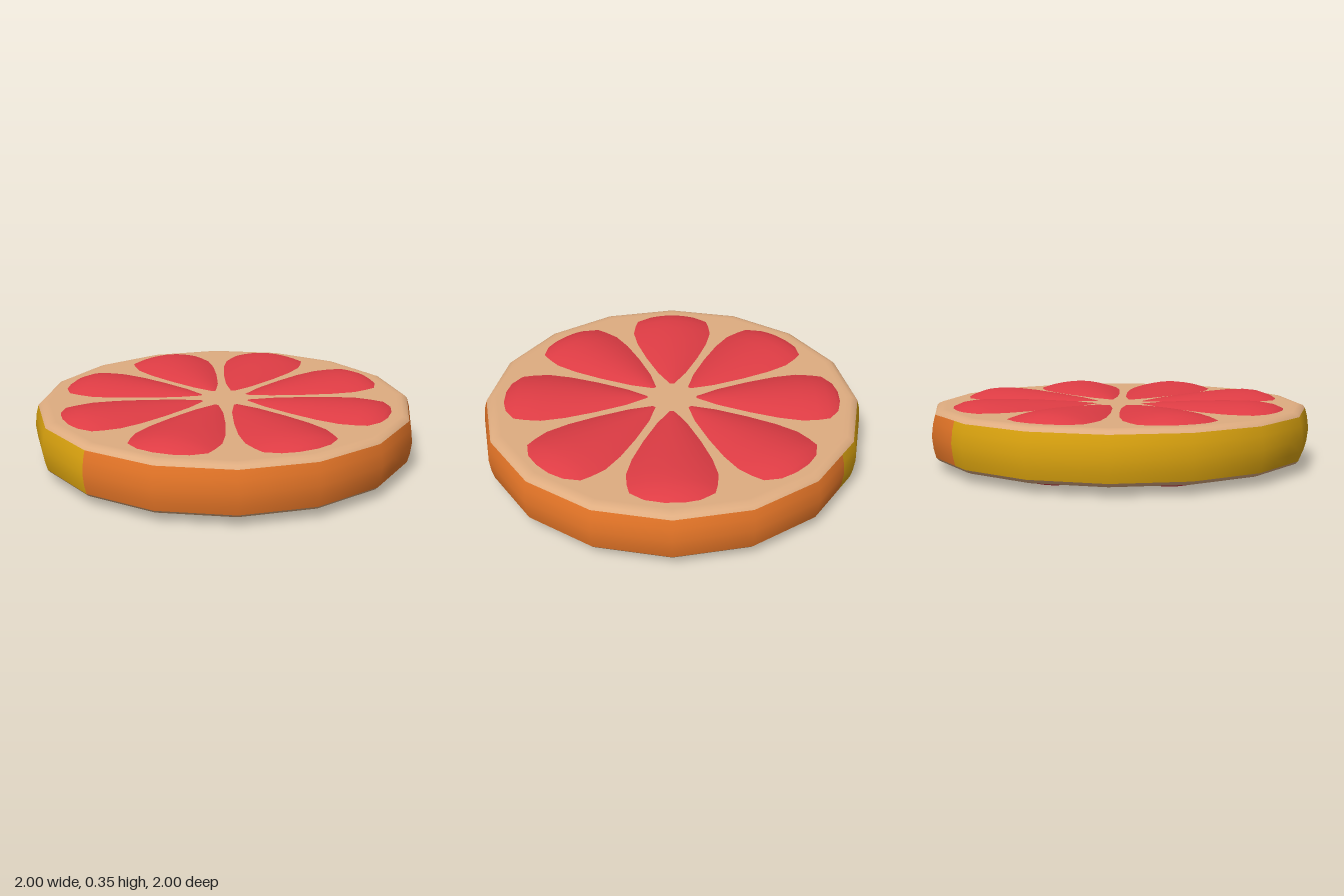
import * as THREE from 'three';

const HEIGHT = 0.35, SIDES = 16, STEP = Math.PI / 24;

const mat = (name, color, side = THREE.FrontSide) => {
  const m = new THREE.MeshStandardMaterial({ color, side });
  m.name = name;
  return m;
};

// Lathe around y whose outline is squared off to a 16-sided polygon
function polygonLathe(points, startStep, steps) {
  const geo = new THREE.LatheGeometry(
    points.map(([r, y]) => new THREE.Vector2(r, y)), steps, startStep * STEP, steps * STEP);
  const pos = geo.attributes.position, side = 2 * Math.PI / SIDES;
  for (let i = 0; i < pos.count; i++) {
    const a = Math.atan2(pos.getX(i), pos.getZ(i)) + 2 * Math.PI;
    const k = Math.cos(side / 2) / Math.cos((a % side) - side / 2);
    pos.setX(i, pos.getX(i) * k);
    pos.setZ(i, pos.getZ(i) * k);
  }
  return geo;
}

// Domed wedge of flesh along +x, lofted from arched cross-sections
function fleshGeometry(base) {
  // radius, half width, dome height
  const sections = [
    [0.13, 0.01, 0], [0.24, 0.075, 0.014], [0.4, 0.143, 0.027], [0.55, 0.195, 0.037],
    [0.67, 0.22, 0.042], [0.75, 0.213, 0.041], [0.81, 0.2, 0.033], [0.86, 0.13, 0.016], [0.88, 0.05, 0],
  ];
  const across = 10, positions = [], index = [];
  sections.forEach(([r, w, h], i) => {
    for (let j = 0; j <= across; j++) {
      const u = (j / across) * 2 - 1;
      positions.push(r, base + h * (1 - u * u), w * u);
      if (i < sections.length - 1 && j < across) {
        const a = i * (across + 1) + j, c = a + across + 1;
        index.push(a, a + 1, c, a + 1, c + 1, c);
      }
    }
  });
  const geo = new THREE.BufferGeometry();
  geo.setAttribute('position', new THREE.Float32BufferAttribute(positions, 3));
  geo.setIndex(index);
  geo.computeVertexNormals();
  return geo;
}

export function createModel() {
  const orange = mat('orange peel', 0xe87728);
  const yellow = mat('yellow peel', 0xdca40f);
  const cream = mat('cream pith', 0xdeac80);
  const red = mat('red flesh', 0xde3c44);

  const model = new THREE.Group();
  model.name = 'fruitSlice';
  const add = (parent, name, geo, material) => {
    const mesh = new THREE.Mesh(geo, material);
    mesh.name = name;
    parent.add(mesh);
    return mesh;
  };

  // Bulging peel, in two colours around the rim
  const rim = [[0.98, 0.065], [0.992, 0.11], [1, 0.175], [0.992, 0.24], [0.98, 0.285]];
  add(model, 'yellowPeel', polygonLathe(rim, 20, 19), yellow);
  add(model, 'orangePeel', polygonLathe(rim, 39, 29), orange);

  // Each face: pith disc with a rounded edge, and eight wedges of flesh
  const top = 0.307;
  const pithGeo = polygonLathe(
    [[0.98, 0.285], [0.967, 0.299], [0.945, top], [0.92, top], [0, top]], 0, 48);
  const fleshGeo = fleshGeometry(top);
  for (const name of ['topFace', 'bottomFace']) {
    const face = new THREE.Group();
    face.name = name;
    add(face, 'pith', pithGeo, cream);
    for (let i = 0; i < 8; i++) {
      add(face, 'fleshWedge', fleshGeo, red).rotation.y = i * Math.PI / 4;
    }
    if (name === 'bottomFace') {
      face.rotation.x = Math.PI;
      face.position.y = HEIGHT;
    }
    model.add(face);
  }
  return model;
}
